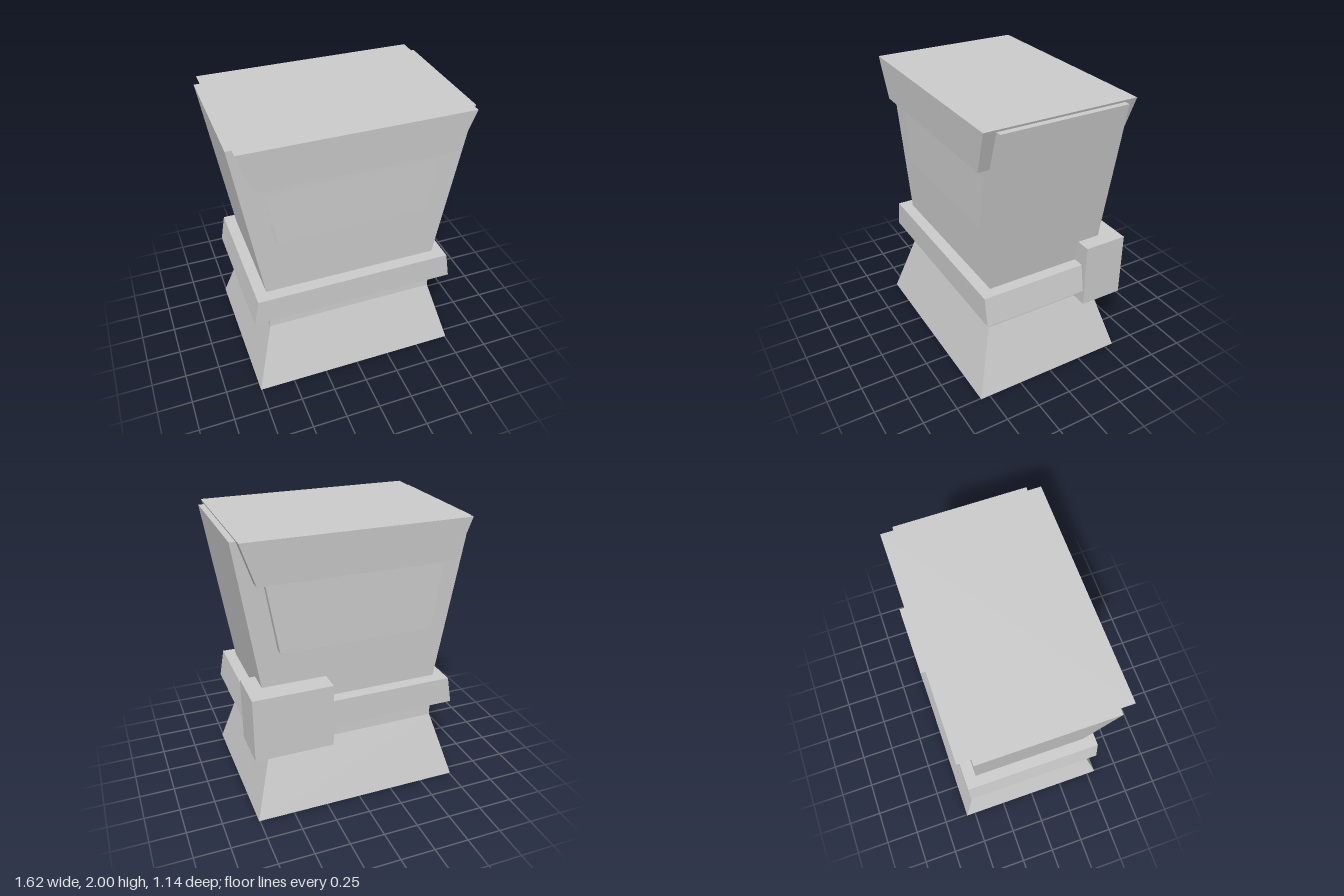
import * as THREE from 'three';

const stone = new THREE.MeshStandardMaterial({ color: 0xcccccc });
stone.name = 'plain grey';

// Four-sided block through rectangular sections [y, halfX, zBack, zFront], listed bottom to top
function taperedBlock(name, sections) {
  const pos = [];
  const rings = sections.map(([y, w, zb, zf]) => [[-w, y, zf], [w, y, zf], [w, y, zb], [-w, y, zb]]);
  const quad = (a, b, c, d) => [a, b, c, a, c, d].forEach(p => pos.push(...p));
  for (let i = 0; i < rings.length - 1; i++) {
    const lo = rings[i], hi = rings[i + 1];
    for (let k = 0; k < 4; k++) {
      const n = (k + 1) % 4;
      quad(lo[k], lo[n], hi[n], hi[k]);
    }
  }
  const bottom = rings[0], top = rings[rings.length - 1];
  quad(top[0], top[1], top[2], top[3]);
  quad(bottom[3], bottom[2], bottom[1], bottom[0]);
  const geo = new THREE.BufferGeometry();
  geo.setAttribute('position', new THREE.Float32BufferAttribute(pos, 3));
  geo.computeVertexNormals(); // unshared corners keep the faces flat
  const mesh = new THREE.Mesh(geo, stone);
  mesh.name = name;
  return mesh;
}

export function createModel() {
  const model = new THREE.Group();
  model.name = 'torso';

  // Flared skirt with a straight waist, and the chest widening upwards
  model.add(taperedBlock('skirt', [
    [0, 0.757, -0.568, 0.568], [0.48, 0.619, -0.425, 0.428], [0.7, 0.617, -0.418, 0.42],
  ]));
  model.add(taperedBlock('chest', [
    [0.7, 0.61, -0.417, 0.417], [1.985, 0.808, -0.448, 0.45],
  ]));

  // Belt around the waist
  model.add(taperedBlock('belt', [
    [0.61, 0.742, -0.504, 0.504], [0.81, 0.706, -0.504, 0.504],
  ]));

  // Plate through the chest, proud at the back and nearly flush in front
  model.add(taperedBlock('chestPlate', [
    [1.23, 0.535, -0.49, 0.44], [1.75, 0.62, -0.488, 0.441],
  ]));

  // Collar block across the shoulders
  model.add(taperedBlock('collar', [
    [1.71, 0.673, -0.517, 0.522], [2, 0.772, -0.535, 0.537],
  ]));

  // Pouch on the left rear corner of the belt
  const pouch = new THREE.Mesh(new THREE.BoxGeometry(0.555, 0.465, 0.31), stone);
  pouch.name = 'pouch';
  pouch.position.set(0.479, 0.737, -0.413);
  model.add(pouch);

  return model;
}
